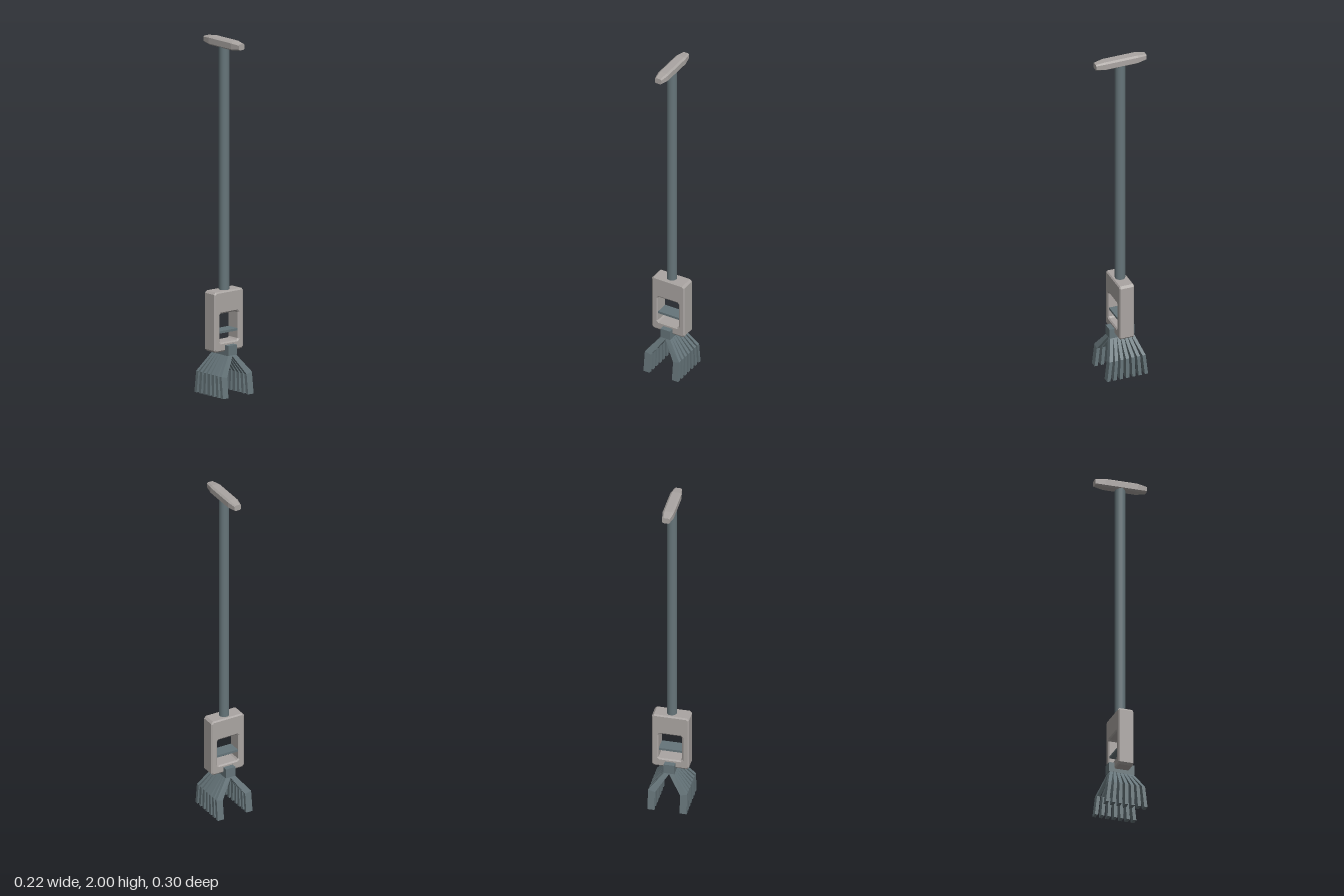
import * as THREE from 'three';

const steel = new THREE.MeshStandardMaterial({ color: 0x66757a, flatShading: true });
const steelSmooth = new THREE.MeshStandardMaterial({ color: 0x66757a });
const plastic = new THREE.MeshStandardMaterial({ color: 0xaaa5a2, flatShading: true });

function add(group, name, geometry, material, x = 0, y = 0, z = 0) {
  const mesh = new THREE.Mesh(geometry, material);
  mesh.name = name;
  mesh.position.set(x, y, z);
  group.add(mesh);
  return mesh;
}

// Move every vertex of a geometry by a rule
function deform(geometry, rule) {
  const pos = geometry.attributes.position;
  const v = new THREE.Vector3();
  for (let i = 0; i < pos.count; i++) {
    rule(v.fromBufferAttribute(pos, i));
    pos.setXYZ(i, v.x, v.y, v.z);
  }
  geometry.computeVertexNormals();
  return geometry;
}

// Rectangle outline with chamfered corners
function chamferedRect(path, w, y0, y1, c) {
  path.moveTo(-w + c, y0);
  [[w - c, y0], [w, y0 + c], [w, y1 - c], [w - c, y1],
    [-w + c, y1], [-w, y1 - c], [-w, y0 + c]].forEach(([x, y]) => path.lineTo(x, y));
  path.closePath();
  return path;
}

// T-grip: eight-sided bar along z whose ends taper
function gripGeometry() {
  const geo = new THREE.CylinderGeometry(1, 1, 2, 8, 3).rotateY(Math.PI / 8).toNonIndexed();
  return deform(geo, (v) => {
    const end = Math.abs(v.y) > 0.9;
    const halfW = end ? 0.021 : 0.031;
    const halfH = end ? 0.017 : 0.025;
    const long = Math.sign(v.y) * (end ? 0.15 : 0.095);
    const snap = (t) => {
      if (Math.abs(t) < 0.01) return 0; // centre of the end caps
      return Math.sign(t) * (Math.abs(t) > 0.6 ? 1 : 0.66);
    };
    const x = snap(v.x) * halfW;
    const y = -snap(v.z) * halfH;
    v.set(x, y, long);
  });
}

// Frame: bevelled block with a window
function housingGeometry() {
  const shape = chamferedRect(new THREE.Shape(), 0.105, 0.245, 0.585, 0.012);
  shape.holes.push(chamferedRect(new THREE.Path(), 0.066, 0.297, 0.46, 0.008));
  return new THREE.ExtrudeGeometry(shape, {
    depth: 0.076, bevelThickness: 0.006, bevelSize: 0.008, bevelOffset: -0.008, bevelSegments: 1,
  }).translate(0, 0, -0.038);
}

// Forked pair of tines; fans outward in z as it goes down
function forkGeometry(row) {
  const half = [[0.03, 0.24], [0.03, 0.222], [0.11, 0.122], [0.111, 0], [0.071, 0], [0.071, 0.112]];
  const outline = [...half, [0, 0.218], ...half.map(([x, y]) => [-x, y]).reverse()];
  const shape = new THREE.Shape(outline.map(([x, y]) => new THREE.Vector2(x, y)));
  const thick = 0.019;
  const geo = new THREE.ExtrudeGeometry(shape, { depth: thick, bevelEnabled: false });
  return deform(geo, (v) => {
    const spread = v.y > 0.122
      ? THREE.MathUtils.mapLinear(v.y, 0.222, 0.122, 0.061, 0.098)
      : THREE.MathUtils.mapLinear(v.y, 0.122, 0, 0.098, 0.112);
    v.z += row * spread - thick / 2;
  });
}

export function createModel() {
  const model = new THREE.Group();
  model.name = 'longHandledRake';

  add(model, 'topGrip', gripGeometry(), plastic, 0, 1.975, 0);
  add(model, 'pole', new THREE.CylinderGeometry(0.029, 0.029, 1.42, 16), steelSmooth, 0, 1.25, 0);
  add(model, 'housing', housingGeometry(), plastic);
  add(model, 'crossPlate', new THREE.BoxGeometry(0.15, 0.013, 0.075), steel, 0, 0.355, 0);

  // Rake head: hub block with seven forks
  const head = new THREE.Group();
  head.name = 'rakeHead';
  add(head, 'hub', new THREE.BoxGeometry(0.06, 0.056, 0.148), steel, 0, 0.252, 0);
  for (let i = -3; i <= 3; i++) add(head, 'tinePair', forkGeometry(i / 3), steel);
  model.add(head);

  return model;
}
